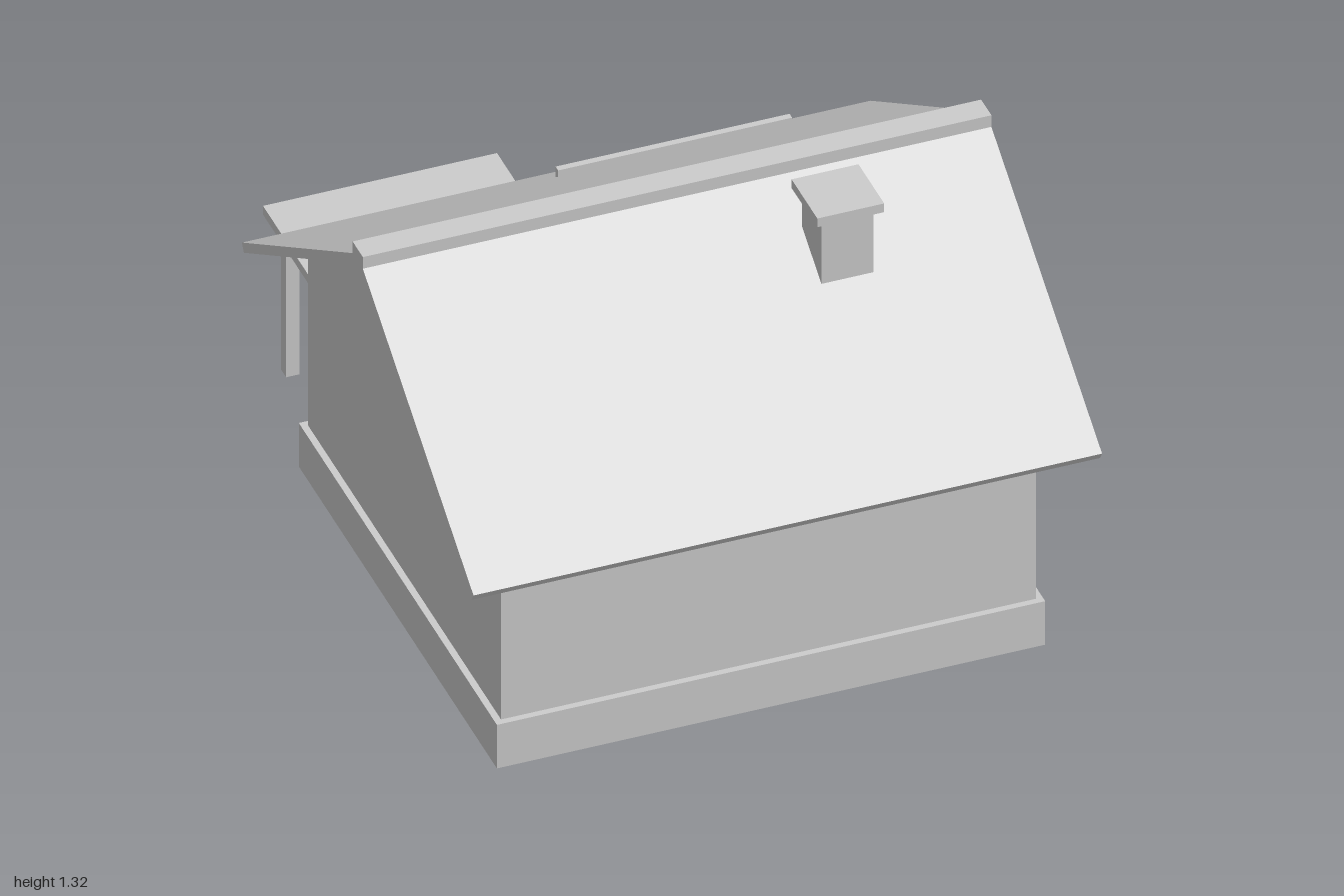
import * as THREE from 'three';

export function createModel() {
  const house = new THREE.Group();
  house.name = 'house';
  const plaster = new THREE.MeshStandardMaterial({ color: 0xcccccc });
  plaster.name = 'pale grey';

  const add = (name, geometry) => {
    const mesh = new THREE.Mesh(geometry, plaster);
    mesh.name = name;
    house.add(mesh);
    return mesh;
  };

  // Box given by its lower and upper limits on each axis
  const box = (name, [x0, x1], [y0, y1], [z0, z1]) => {
    const mesh = add(name, new THREE.BoxGeometry(x1 - x0, y1 - y0, z1 - z0));
    mesh.position.set((x0 + x1) / 2, (y0 + y1) / 2, (z0 + z1) / 2);
    return mesh;
  };

  // Outline in (z, y), extruded along x and centred
  const prism = (name, outline, width) => {
    const shape = new THREE.Shape(outline.map(([z, y]) => new THREE.Vector2(-z, y)));
    const geometry = new THREE.ExtrudeGeometry(shape, { depth: width, bevelEnabled: false });
    geometry.translate(0, 0, -width / 2).rotateY(Math.PI / 2);
    return add(name, geometry);
  };

  // Foundation and gabled walls
  box('foundation', [-0.82, 0.82], [0, 0.15], [-0.67, 0.87]);
  prism('walls', [[0.85, 0.15], [-0.65, 0.15], [-0.65, 0.775], [0.1, 1.25], [0.85, 0.775]], 1.6);

  // Roof slabs with square-cut eaves, and the ridge cap
  prism('roof', [
    [1, 0.715], [0.985, 0.69], [0.1, 1.25], [-0.785, 0.69], [-0.8, 0.715], [0.1, 1.285],
  ], 1.88);
  box('ridgeCap', [-0.94, 0.94], [1.26, 1.3], [0.06, 0.14]);

  // Chimney
  box('chimneyStack', [0.32, 0.475], [1.0, 1.29], [0.28, 0.43]);
  box('chimneyCap', [0.3, 0.5], [1.29, 1.32], [0.25, 0.45]);

  // Porch canopy on two posts
  box('porchRoof', [-0.8, -0.1], [0.64, 0.67], [-1, -0.65]);
  for (const x of [-0.73, -0.17]) {
    box('porchPost', [x - 0.02, x + 0.02], [0.1, 0.64], [-0.99, -0.95]);
  }

  // Door with its jambs
  box('door', [-0.62, -0.28], [0.15, 0.64], [-0.66, -0.64]);
  for (const x of [-0.61, -0.29]) {
    box('doorJamb', [x - 0.01, x + 0.01], [0.15, 0.64], [-0.665, -0.64]);
  }

  // Window: two panes, jambs, shutters, sill and the board above
  const centre = 0.32;
  for (const side of [-1, 1]) {
    const span = (a, b) => [centre + side * a, centre + side * b].sort((p, q) => p - q);
    box('windowPane', span(0, 0.21), [0.33, 0.64], [-0.656, -0.64]);
    box('windowJamb', span(0.2, 0.22), [0.33, 0.65], [-0.67, -0.64]);
    box('shutter', span(0.22, 0.295), [0.33, 0.65], [-0.662, -0.64]);
  }
  box('windowSill', [0.09, 0.55], [0.3, 0.325], [-0.68, -0.64]);
  box('headerBoard', [-0.05, 0.65], [0.68, 0.83], [-0.675, -0.655]);

  return house;
}
